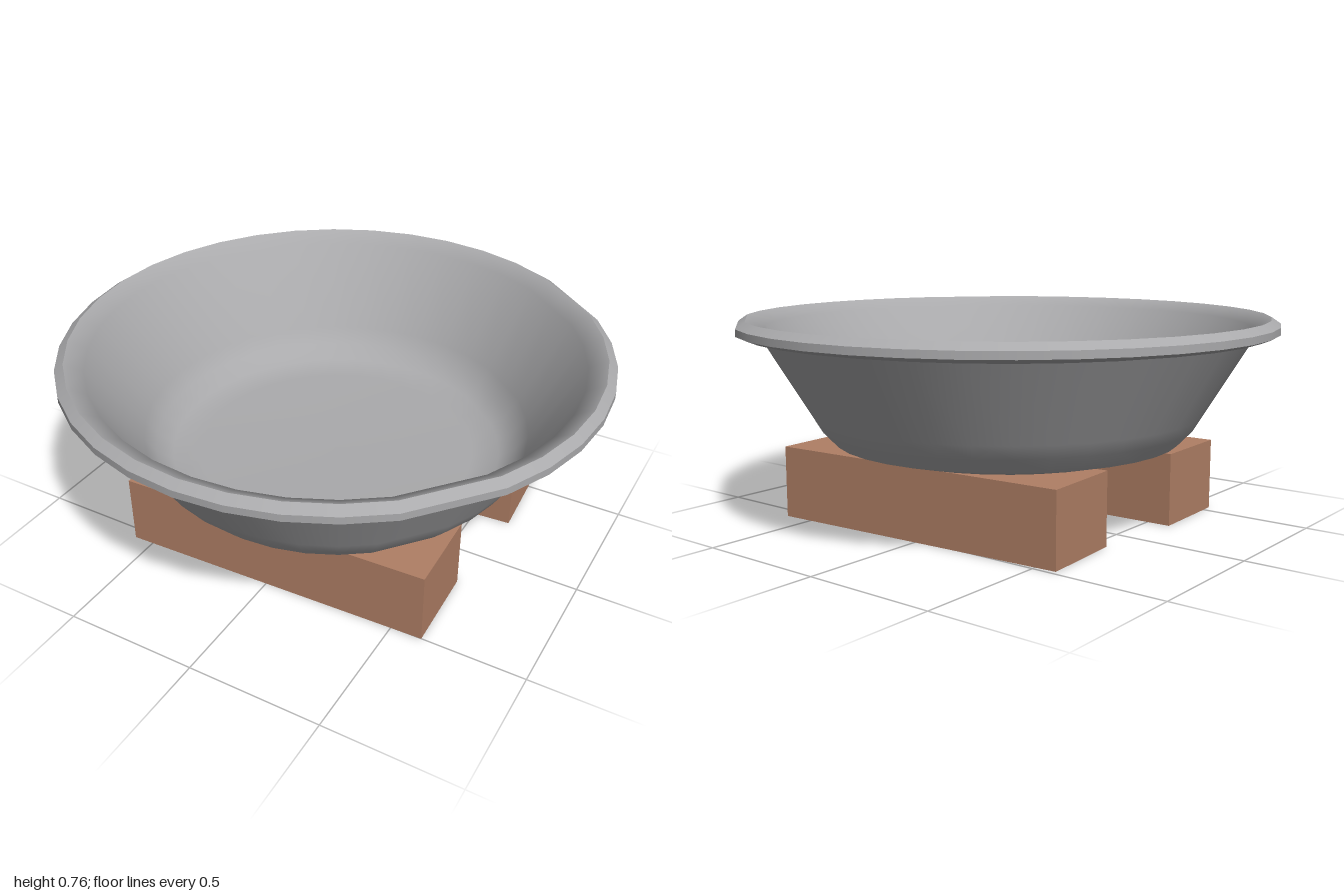
import * as THREE from 'three';

const metal = new THREE.MeshStandardMaterial({ color: 0xaaaaac });
metal.name = 'greyMetal';
const clay = new THREE.MeshStandardMaterial({ color: 0xb07f65 });
clay.name = 'brickClay';

const SEGMENTS = 36;
const FLAT_CORNERS = [5, 14]; // rim corners flattened into longer straight facets

// One smooth band of the bowl; separate bands keep the edges between them sharp
function bowlBand(name, profile) {
  const geometry = new THREE.LatheGeometry(profile.map(([r, y]) => new THREE.Vector2(r, y)), SEGMENTS);
  const position = geometry.attributes.position;
  const k = Math.cos(Math.PI * 2 / SEGMENTS);
  for (const corner of FLAT_CORNERS) {
    for (let j = 0; j < profile.length; j++) {
      const i = corner * profile.length + j;
      position.setX(i, position.getX(i) * k);
      position.setZ(i, position.getZ(i) * k);
    }
  }
  const mesh = new THREE.Mesh(geometry, metal);
  mesh.name = name;
  return mesh;
}

function brick(name, x, z, angle, length) {
  const mesh = new THREE.Mesh(new THREE.BoxGeometry(length, 0.27, 0.33), clay);
  mesh.name = name;
  mesh.position.set(x, 0.135, z);
  mesh.rotation.y = angle;
  return mesh;
}

export function createModel() {
  const model = new THREE.Group();
  model.name = 'basinOnBricks';

  // Basin, from the base up the outside, over the rim and down the inside
  const basin = new THREE.Group();
  basin.name = 'basin';
  basin.add(
    bowlBand('base', [[0, 0.272], [0.54, 0.273], [0.65, 0.302]]),
    bowlBand('outerWall', [[0.65, 0.302], [0.705, 0.36], [0.735, 0.41], [0.905, 0.693]]),
    bowlBand('rimUnderside', [[0.905, 0.693], [0.965, 0.702], [1, 0.716]]),
    bowlBand('rimEdge', [[1, 0.716], [1, 0.742]]),
    bowlBand('rimBevel', [[1, 0.742], [0.967, 0.765]]),
    bowlBand('inside', [[0.967, 0.765], [0.9, 0.728], [0.72, 0.42], [0.68, 0.36], [0.62, 0.315], [0.52, 0.295], [0, 0.292]])
  );
  model.add(basin);

  // Two supporting bricks, each slightly askew
  model.add(
    brick('frontBrick', 0.013, 0.358, 0.037, 1.195),
    brick('backBrick', 0.031, -0.358, 0.071, 1.2)
  );
  return model;
}
